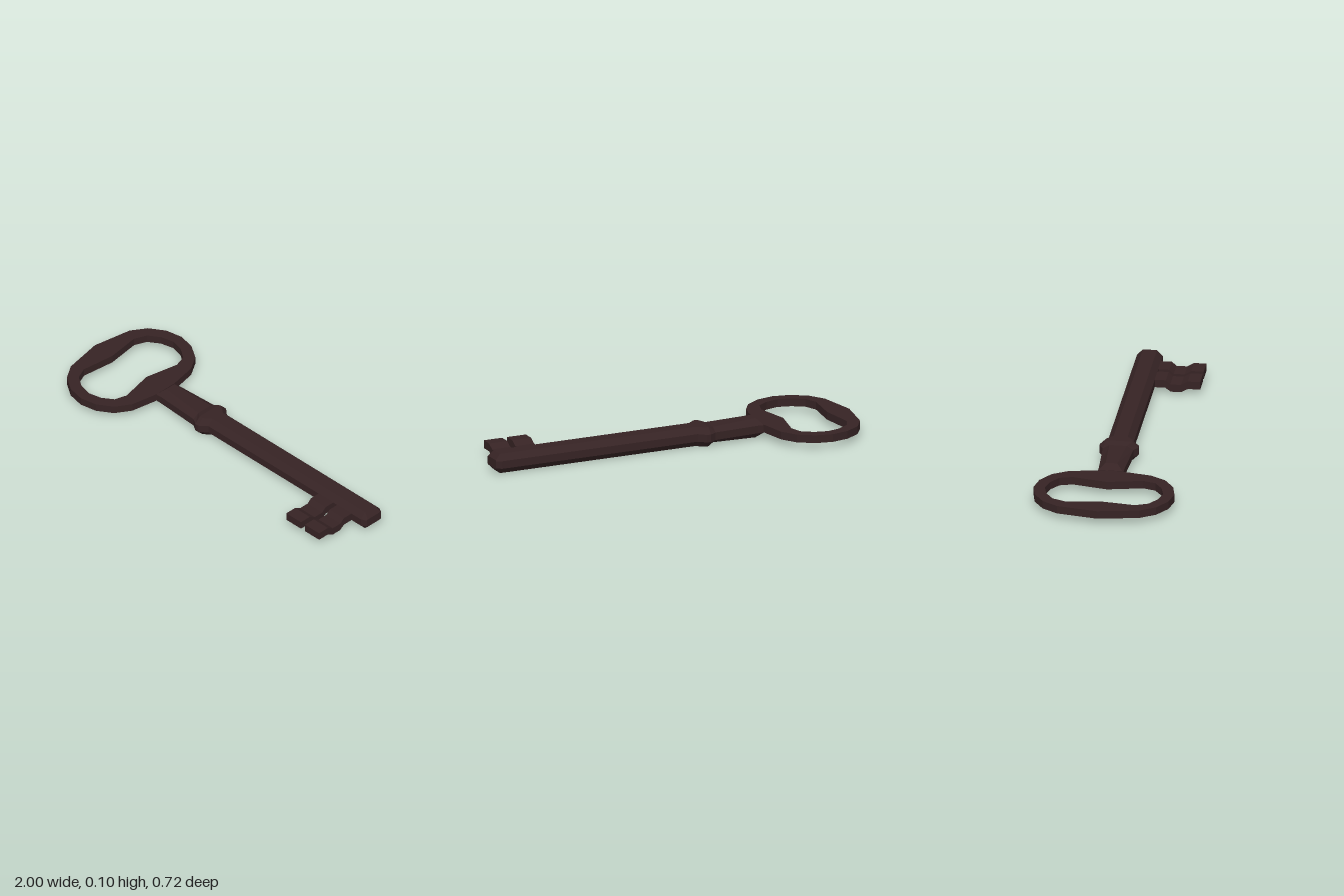
import * as THREE from 'three';

const MID = 0.051; // height of the key's centre plane

// Faceted bar along x. Each station: [x, half width, half height, half width of flat top, half height of flat side]
function loftBar(stations) {
  const positions = [];
  const rings = stations.map(([x, hz, hy, fz, fy]) =>
    [[hy, -fz], [hy, fz], [fy, hz], [-fy, hz], [-hy, fz], [-hy, -fz], [-fy, -hz], [fy, -hz]]
      .map(([y, z]) => [x, MID + y, z]));
  const tri = (...points) => points.forEach((p) => positions.push(...p));
  const last = rings.length - 1;
  for (let i = 0; i < 8; i++) {
    const j = (i + 1) % 8;
    for (let k = 0; k < last; k++) {
      const a = rings[k], b = rings[k + 1];
      tri(a[i], a[j], b[j]);
      tri(a[i], b[j], b[i]);
    }
    tri([stations[0][0], MID, 0], rings[0][j], rings[0][i]);
    tri([stations[last][0], MID, 0], rings[last][i], rings[last][j]);
  }
  const geometry = new THREE.BufferGeometry();
  geometry.setAttribute('position', new THREE.Float32BufferAttribute(positions, 3));
  geometry.computeVertexNormals();
  return geometry;
}

// Closed counter-clockwise outline from one half, mirrored across z = 0
function mirrored(half) {
  const other = half.slice(1, -1).reverse().map(([x, z]) => [x, -z]);
  return [...half, ...other].reverse().map(([x, z]) => new THREE.Vector2(x, z));
}

export function createModel() {
  const key = new THREE.Group();
  key.name = 'key';
  const iron = new THREE.MeshStandardMaterial({ color: 0x362324, flatShading: true });
  iron.name = 'dark iron';
  const add = (name, geometry) => {
    const mesh = new THREE.Mesh(geometry, iron);
    mesh.name = name;
    key.add(mesh);
  };

  // Oval handle ring with pinched opening
  const outline = new THREE.Shape(mirrored([
    [-1, 0], [-0.962, 0.21], [-0.91, 0.29], [-0.83, 0.342], [-0.74, 0.36],
    [-0.65, 0.342], [-0.57, 0.29], [-0.52, 0.21], [-0.48, 0]]));
  outline.holes.push(new THREE.Path(mirrored([
    [-0.875, 0], [-0.898, 0.18], [-0.87, 0.245], [-0.81, 0.285], [-0.74, 0.302],
    [-0.67, 0.285], [-0.612, 0.245], [-0.592, 0.18], [-0.63, 0]])));
  const bow = new THREE.ExtrudeGeometry(outline, { depth: 0.041, bevelEnabled: false });
  bow.rotateX(Math.PI / 2).translate(0, 0.072, 0);
  add('bow', bow);

  // Neck, collar and shank with bevelled ends
  add('shank', loftBar([
    [-0.49, 0.066, 0.023, 0.06, 0.019],
    [-0.46, 0.065, 0.051, 0.03, 0.02],
    [-0.215, 0.078, 0.041, 0.045, 0.02],
    [-0.18, 0.1, 0.051, 0.068, 0.02],
    [-0.16, 0.1, 0.051, 0.068, 0.02],
    [-0.12, 0.066, 0.051, 0.036, 0.02],
    [0.972, 0.066, 0.051, 0.036, 0.02],
    [1, 0.051, 0.023, 0.046, 0.019],
  ]));

  // Two stepped teeth
  const profile = new THREE.Shape([
    [0.04, 0.031], [0.12, 0.031], [0.148, 0.011], [0.2, 0.011], [0.235, 0.031], [0.298, 0.031],
    [0.298, 0.072], [0.235, 0.072], [0.2, 0.051], [0.145, 0.051], [0.122, 0.072], [0.04, 0.072],
  ].map(([z, y]) => new THREE.Vector2(z, y)));
  [[0.67, 0.775], [0.803, 0.905]].forEach(([x0, x1], i) => {
    const tooth = new THREE.ExtrudeGeometry(profile, { depth: x1 - x0, bevelEnabled: false });
    tooth.rotateY(-Math.PI / 2).translate(x1, 0, 0);
    add(i ? 'outerTooth' : 'innerTooth', tooth);
  });

  return key;
}
